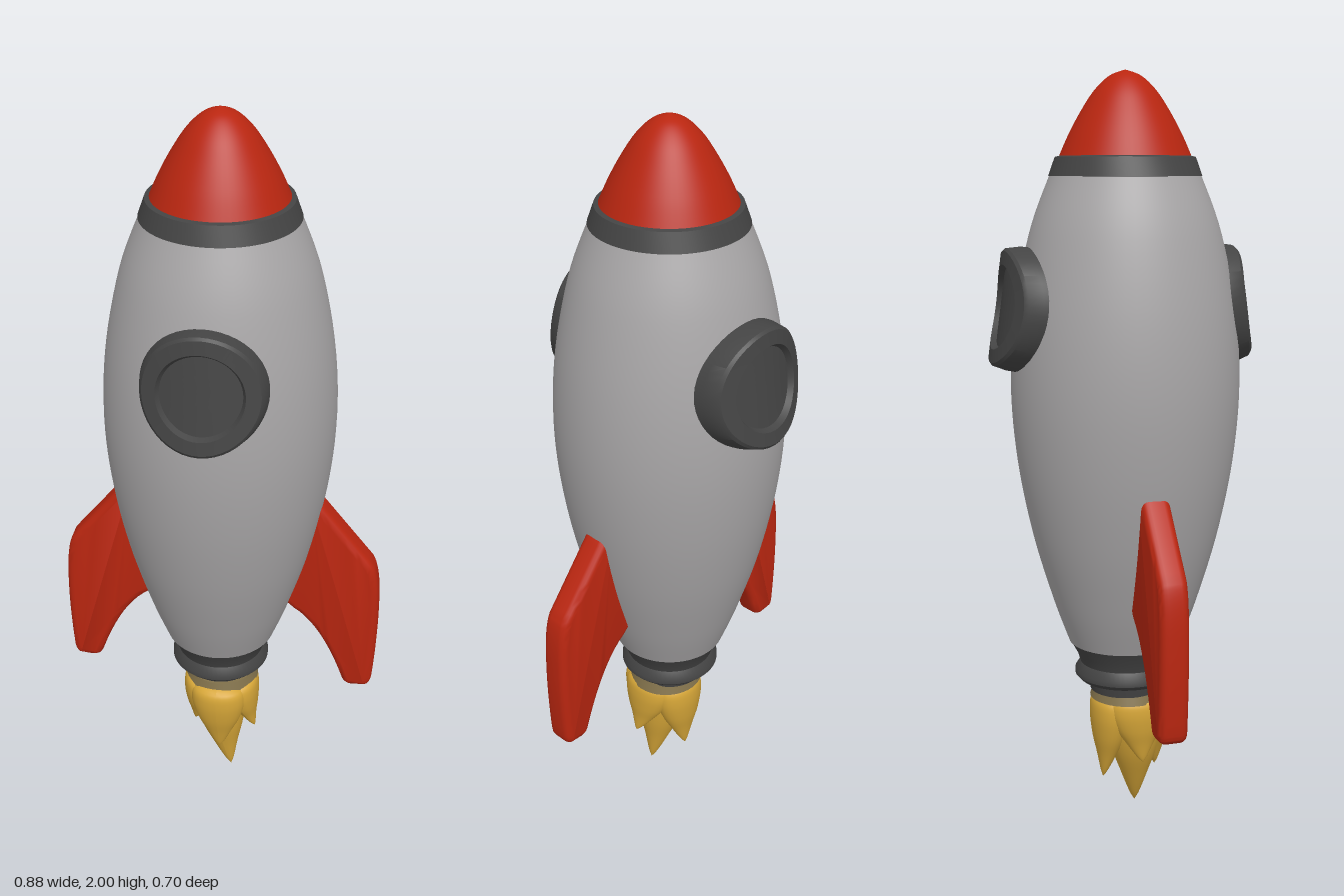
import * as THREE from 'three';
import { toCreasedNormals } from 'three/addons/utils/BufferGeometryUtils.js';

const material = (name, color) => new THREE.MeshStandardMaterial({ name, color });
const V2 = (p) => new THREE.Vector2(p[0], p[1]);

export function createModel() {
  const grey = material('hull grey', 0xa8a6a7);
  const red = material('fin red', 0xb92610);
  const dark = material('trim dark grey', 0x444444);
  const yellow = material('flame yellow', 0xd6a638);
  const olive = material('flame root', 0x80704a);

  const rocket = new THREE.Group();
  rocket.name = 'rocket';

  const add = (name, geometry, mat, parent = rocket) => {
    const mesh = new THREE.Mesh(geometry, mat);
    mesh.name = name;
    parent.add(mesh);
    return mesh;
  };

  // Turned parts share one axis, slightly off the origin
  const axis = new THREE.Group();
  axis.name = 'fuselage';
  axis.position.set(-0.004, 0, 0.01);
  rocket.add(axis);
  const turned = (name, points, mat, smooth = true) => {
    const profile = smooth
      ? new THREE.SplineCurve(points.map(V2)).getPoints(points.length * 5)
      : points.map(V2);
    profile.forEach((p) => { p.x = Math.max(p.x, 0); });
    const geometry = new THREE.LatheGeometry(profile, 64);
    return add(name, smooth ? geometry : toCreasedNormals(geometry, 0.7), mat, axis);
  };

  turned('hull', [
    [0.152, 0.5], [0.195, 0.62], [0.247, 0.8], [0.285, 1.0], [0.3, 1.2],
    [0.287, 1.4], [0.246, 1.6], [0.192, 1.745],
  ], grey);
  turned('noseBand', [[0.185, 1.735], [0.197, 1.738], [0.18, 1.785], [0.16, 1.79]], dark, false);
  turned('noseCone', [
    [0.172, 1.78], [0.145, 1.84], [0.112, 1.9], [0.078, 1.95], [0.04, 1.985], [0, 2],
  ], red);
  turned('nozzle', [
    [0, 0.355], [0.095, 0.36], [0.1, 0.388], [0.125, 0.393], [0.136, 0.405],
    [0.136, 0.418], [0.122, 0.44], [0.13, 0.465], [0.156, 0.512], [0.14, 0.515],
  ], dark, false);

  // Portholes: tapered rims with recessed panes, bent round the hull and tilted with it
  const portholeGeometry = (points) => {
    const g = new THREE.LatheGeometry(points.map(V2), 48);
    g.rotateX(Math.PI / 2);
    const p = g.attributes.position;
    for (let i = 0; i < p.count; i++) p.setZ(i, p.getZ(i) - 1.75 * p.getX(i) ** 2);
    g.rotateX(-0.14);
    g.translate(-0.004, 1.412, 0.328);
    return toCreasedNormals(g, 0.5);
  };
  for (const [side, turn] of [['front', 0], ['back', Math.PI]]) {
    const porthole = new THREE.Group();
    porthole.name = side + 'Porthole';
    porthole.rotation.y = turn;
    add('rim', portholeGeometry([
      [0.161, -0.09], [0.158, -0.04], [0.15, -0.006], [0.143, 0], [0.108, 0], [0.1, -0.016],
    ]), dark, porthole);
    add('pane', portholeGeometry([
      [0.1, -0.016], [0.075, -0.016], [0.05, -0.016], [0.025, -0.016], [0, -0.016],
    ]), dark, porthole);
    rocket.add(porthole);
  }

  // Swept fins with rounded edges
  const outline = new THREE.Shape();
  outline.moveTo(0.15, 0.66);
  outline.lineTo(0.205, 0.61);
  outline.quadraticCurveTo(0.285, 0.56, 0.35, 0.375);
  outline.quadraticCurveTo(0.358, 0.357, 0.38, 0.357);
  outline.lineTo(0.415, 0.36);
  outline.quadraticCurveTo(0.43, 0.362, 0.433, 0.39);
  outline.quadraticCurveTo(0.442, 0.52, 0.439, 0.62);
  outline.quadraticCurveTo(0.438, 0.74, 0.415, 0.78);
  outline.quadraticCurveTo(0.35, 0.86, 0.265, 0.965);
  outline.quadraticCurveTo(0.25, 0.98, 0.23, 0.96);
  outline.closePath();
  for (const [name, turn, z] of [['leftFin', 0, 0.018], ['rightFin', Math.PI, 0.006]]) {
    const geometry = new THREE.ExtrudeGeometry(outline, {
      depth: 0.036, bevelThickness: 0.02, bevelSize: 0.02, bevelOffset: -0.02,
      bevelSegments: 4, curveSegments: 10,
    });
    geometry.translate(0, 0, -0.018);
    const fin = add(name, toCreasedNormals(geometry, 0.8), red);
    fin.rotation.y = turn;
    fin.position.z = z;
  }

  // Exhaust flame: a central tongue wrapped by four shorter ones
  const flame = new THREE.Group();
  flame.name = 'flame';
  flame.position.set(0.002, 0, 0.03);
  rocket.add(flame);
  const tongueProfile = new THREE.SplineCurve([
    [0, 0], [0.18, 0.08], [0.48, 0.27], [0.82, 0.5], [1, 0.75], [0.85, 0.93], [0, 1],
  ].map(V2)).getPoints(28);
  tongueProfile.forEach((p) => { p.x = Math.max(p.x, 0); });

  // Widths rx, rz; runs from height 0.355 to tipY, with the tip curving by (dx, dz)
  const tongue = (name, x, z, rx, rz, tipY, dx, dz) => {
    const g = new THREE.LatheGeometry(tongueProfile, 28);
    const p = g.attributes.position;
    for (let i = 0; i < p.count; i++) {
      const t = p.getY(i);
      const bend = (1 - t) ** 2;
      p.setXYZ(i, x + p.getX(i) * rx + dx * bend, tipY + t * (0.355 - tipY),
        z + p.getZ(i) * rz + dz * bend);
    }
    g.computeVertexNormals();
    add(name, g, yellow, flame);
  };
  tongue('coreTongue', -0.008, 0.005, 0.078, 0.078, 0, 0.04, 0.015);
  tongue('frontTongue', 0, 0.058, 0.078, 0.056, 0.115, 0.005, 0.012);
  tongue('backTongue', 0, -0.058, 0.078, 0.056, 0.1, -0.005, -0.025);
  tongue('leftTongue', 0.056, 0, 0.05, 0.078, 0.16, 0.045, 0.015);
  tongue('rightTongue', -0.056, 0, 0.05, 0.078, 0.16, -0.02, 0.01);

  // Muted collar where the flame leaves the nozzle
  const collar = add('flameCollar', new THREE.CylinderGeometry(0.094, 0.104, 0.03, 40), olive, flame);
  collar.position.set(0, 0.35, -0.01);

  return rocket;
}
